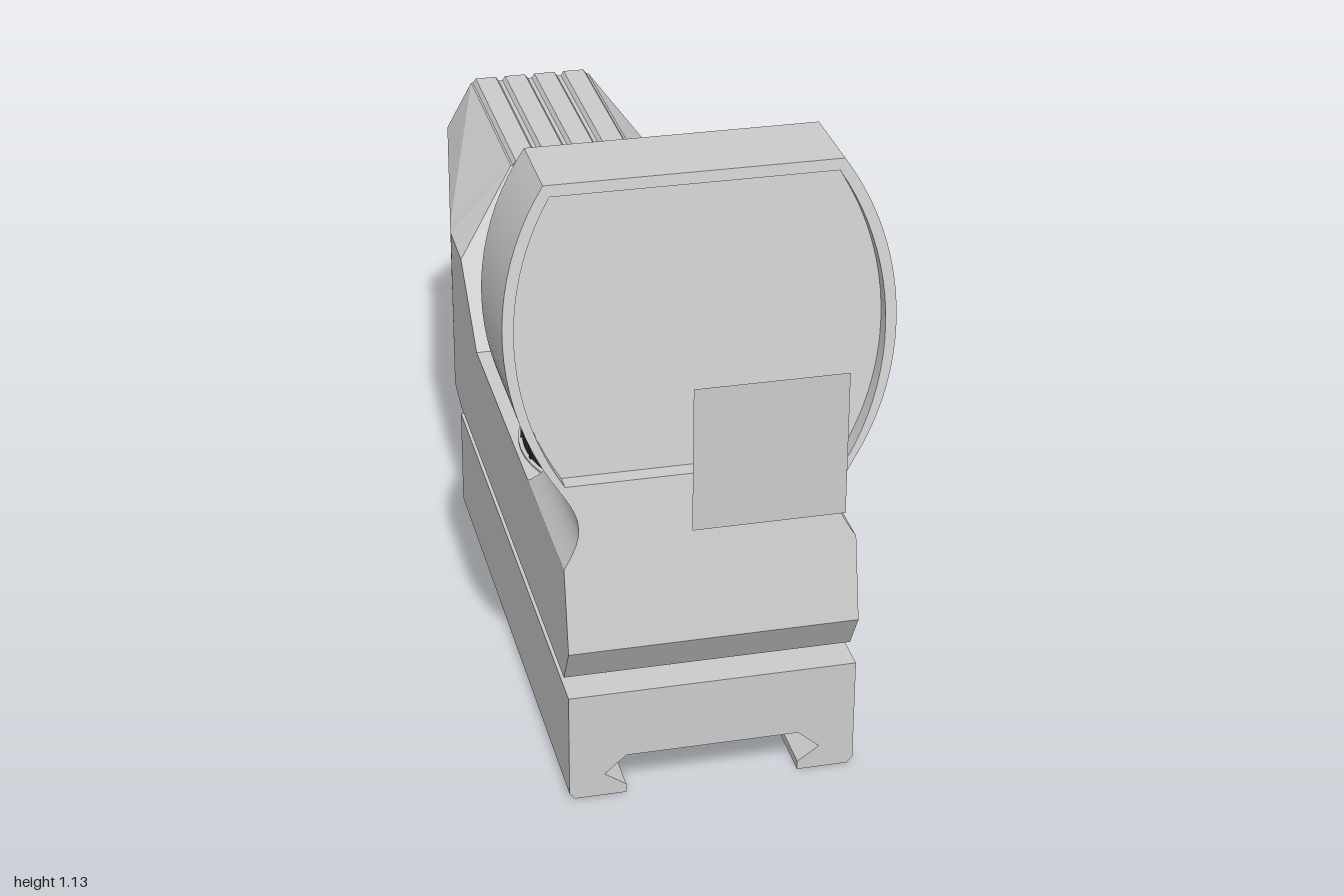
import * as THREE from 'three';
import { toCreasedNormals } from 'three/addons/utils/BufferGeometryUtils.js';
import { ConvexGeometry } from 'three/addons/geometries/ConvexGeometry.js';

const V2 = (x, y) => new THREE.Vector2(x, y);
const grey = new THREE.MeshStandardMaterial({ color: 0xcccccc });
const greyThin = new THREE.MeshStandardMaterial({ color: 0xcccccc, side: THREE.DoubleSide });
const black = new THREE.MeshStandardMaterial({ color: 0x2a2a2a });
const steel = new THREE.MeshStandardMaterial({ color: 0x505050 });

// Mirrors a right-hand outline (bottom to top) into a closed symmetric one
const mirrored = (half) => [...half, ...half.slice().reverse().map((p) => V2(-p.x, p.y))];

// Circular bulge from (x0, y0) to (x0, y1) reaching out to x0 + sag
function bulge(x0, y0, y1, sag, n = 20) {
  const h = (y1 - y0) / 2, r = (h * h + sag * sag) / (2 * sag), a = Math.asin(h / r);
  return Array.from({ length: n + 1 }, (_, i) => {
    const t = -a + (2 * a * i) / n;
    return V2(x0 + sag - r + r * Math.cos(t), (y0 + y1) / 2 + r * Math.sin(t));
  });
}

// Hood front and back z at a given height; the back flares out at its foot
const frontZ = (y) => 0.665 - 0.212 * (y - 0.31);
const backZ = (y) => 0.37 - 0.084 * (y - 0.6) - 0.075 * Math.max(0, (0.585 - y) / 0.12) ** 2;

// Moves z in 0..1 onto the slanted hood, 0 being the back and 1 the front
function slant(geo) {
  const p = geo.attributes.position;
  for (let i = 0; i < p.count; i++) {
    const y = p.getY(i);
    p.setZ(i, THREE.MathUtils.lerp(backZ(y), frontZ(y), p.getZ(i)));
  }
  geo.computeVertexNormals();
  return geo;
}

const lathe = (pts, seg = 48) =>
  toCreasedNormals(new THREE.LatheGeometry(pts.map(([r, y]) => V2(r, y)), seg), 0.5);

// Convex solid from points of the +x half, mirrored across x = 0
const symmetricHull = (pts) =>
  new ConvexGeometry(pts.flatMap(([x, y, z]) => [new THREE.Vector3(x, y, z), new THREE.Vector3(-x, y, z)]));

export function createModel() {
  const model = new THREE.Group();
  const add = (name, geo, mat = grey, parent = model) => {
    const mesh = new THREE.Mesh(geo, mat);
    mesh.name = name;
    parent.add(mesh);
    return mesh;
  };

  // Rail clamp with dovetail channel
  const clampHalf = [[0.16, 0.08], [0.2, 0.045], [0.16, 0.017], [0.16, 0], [0.255, 0], [0.265, 0.012], [0.265, 0.215]];
  const clamp = new THREE.ExtrudeGeometry(
    new THREE.Shape(mirrored(clampHalf.map(([x, y]) => V2(x, y)))), { depth: 1.095, bevelEnabled: false });
  add('railClamp', clamp).position.z = -0.435;

  // Spacers between clamp and body
  for (const z of [0.392, -0.278])
    add('spacer', new THREE.BoxGeometry(0.43, 0.04, 0.175)).position.set(0, 0.225, z);

  // Main body, tapering at the rear
  add('body', symmetricHull([
    [0.265, 0.31, 0.665], [0.265, 0.235, 0.62], [0.265, 0.465, frontZ(0.465)],
    [0.265, 0.235, -0.43], [0.265, 0.253, -0.5], [0.265, 0.465, -0.5],
    [0.185, 0.38, -1], [0.185, 0.465, -1],
  ]));

  // Raised rear housing
  add('rearHousing', symmetricHull([
    [0.259, 0.465, -0.54], [0.259, 0.602, -0.54], [0.13, 0.72, -0.54],
    [0.185, 0.465, -1], [0.185, 0.62, -1], [0.13, 0.72, -1],
  ]));

  // Ramped cheeks on both sides of the sighting channel
  for (const s of [1, -1])
    add('rampCheek', new ConvexGeometry([
      [0.16, 0.465, -0.22], [0.265, 0.465, -0.22], [0.265, 0.595, -0.38], [0.265, 0.6, -0.5],
      [0.265, 0.465, -0.5], [0.259, 0.465, -0.54], [0.259, 0.602, -0.54],
      [0.13, 0.72, -0.54], [0.112, 0.72, -0.54], [0.095, 0.465, -0.54],
    ].map(([x, y, z]) => new THREE.Vector3(s * x, y, z))));

  // Ridges along the top of the rear housing
  const ridge = new THREE.ExtrudeGeometry(
    new THREE.Shape([V2(-0.032, -0.005), V2(0.032, -0.005), V2(0.022, 0.009), V2(-0.022, 0.009)]),
    { depth: 0.46, bevelEnabled: false });
  for (let i = 0; i < 4; i++)
    add('topRidge', ridge).position.set((i - 1.5) * 0.065, 0.72, -1);

  // Lens hood: waisted foot, bulging sides and a through opening
  const foot = Array.from({ length: 10 }, (_, i) =>
    V2(0.265 - 0.03 * Math.sin((Math.PI * i) / 10), 0.465 + 0.014 * i));
  const hoodShape = new THREE.Shape(mirrored([...foot, ...bulge(0.265, 0.605, 1.135, 0.085)]));
  const opening = mirrored(bulge(0.255, 0.612, 1.115, 0.075));
  hoodShape.holes.push(new THREE.Path(opening));
  const hood = slant(new THREE.ExtrudeGeometry(hoodShape, { depth: 1, bevelEnabled: false }));
  add('lensHood', toCreasedNormals(hood, 0.5));

  // Lens pane
  const pane = new THREE.ShapeGeometry(new THREE.Shape(opening));
  pane.translate(0, 0, 0.86);
  add('lens', slant(pane), greyThin);

  // Floating reticle plate ahead of the lens
  add('reticlePlate', new THREE.PlaneGeometry(0.256, 0.256), greyThin).position.set(0, 0.866, 1);

  // Battery cap with grip ribs
  const cap = new THREE.Group();
  cap.name = 'batteryCap';
  cap.position.set(0, 0.465, 0.19);
  model.add(cap);
  add('capSeat', lathe([[0.256, 0], [0.256, 0.004], [0, 0.004]]), grey, cap);
  add('capDrum', lathe([[0.248, 0], [0.248, 0.125], [0.24, 0.148], [0.225, 0.158], [0.215, 0.16], [0, 0.16]], 64), black, cap);
  for (let i = 0; i < 18; i++) {
    const a = (i / 18) * Math.PI * 2;
    const rib = add('capRib', new THREE.BoxGeometry(0.008, 0.12, 0.008), black, cap);
    rib.position.set(0.247 * Math.sin(a), 0.064, 0.247 * Math.cos(a));
    rib.rotation.y = a;
  }

  // Rotary switch under the rear
  const dial = new THREE.Group();
  dial.name = 'rotarySwitch';
  dial.position.set(0, 0.175, -0.685);
  model.add(dial);
  add('dialDisc', lathe([[0, 0], [0.205, 0], [0.215, 0.008], [0.215, 0.07], [0.165, 0.078], [0.165, 0.2]]), grey, dial);
  const tabPivot = new THREE.Group();
  tabPivot.name = 'dialPointer';
  tabPivot.rotation.y = 0.34;
  dial.add(tabPivot);
  add('pointerTab', new THREE.BoxGeometry(0.05, 0.072, 0.06), black, tabPivot).position.set(0, 0.036, -0.228);

  // Socket-head screws: [x, y, z, radius, height, faces sideways]
  for (const [x, y, z, r, h, side] of [
    [0.264, 0.1, 0.47, 0.056, 0.027, true],
    [0.264, 0.13, -0.285, 0.056, 0.027, true],
    [0.262, 0.39, -0.275, 0.056, 0.008, true],
    [0, 0.463, -0.19, 0.052, 0.008, false],
  ]) {
    const screw = add('screw', lathe([
      [r, 0], [r, h * 0.75], [r * 0.88, h], [r * 0.58, h], [r * 0.52, h * 0.5], [0, h * 0.5],
    ], 32), steel);
    screw.position.set(x, y, z);
    if (side) screw.rotation.z = -Math.PI / 2;
  }

  return model;
}
